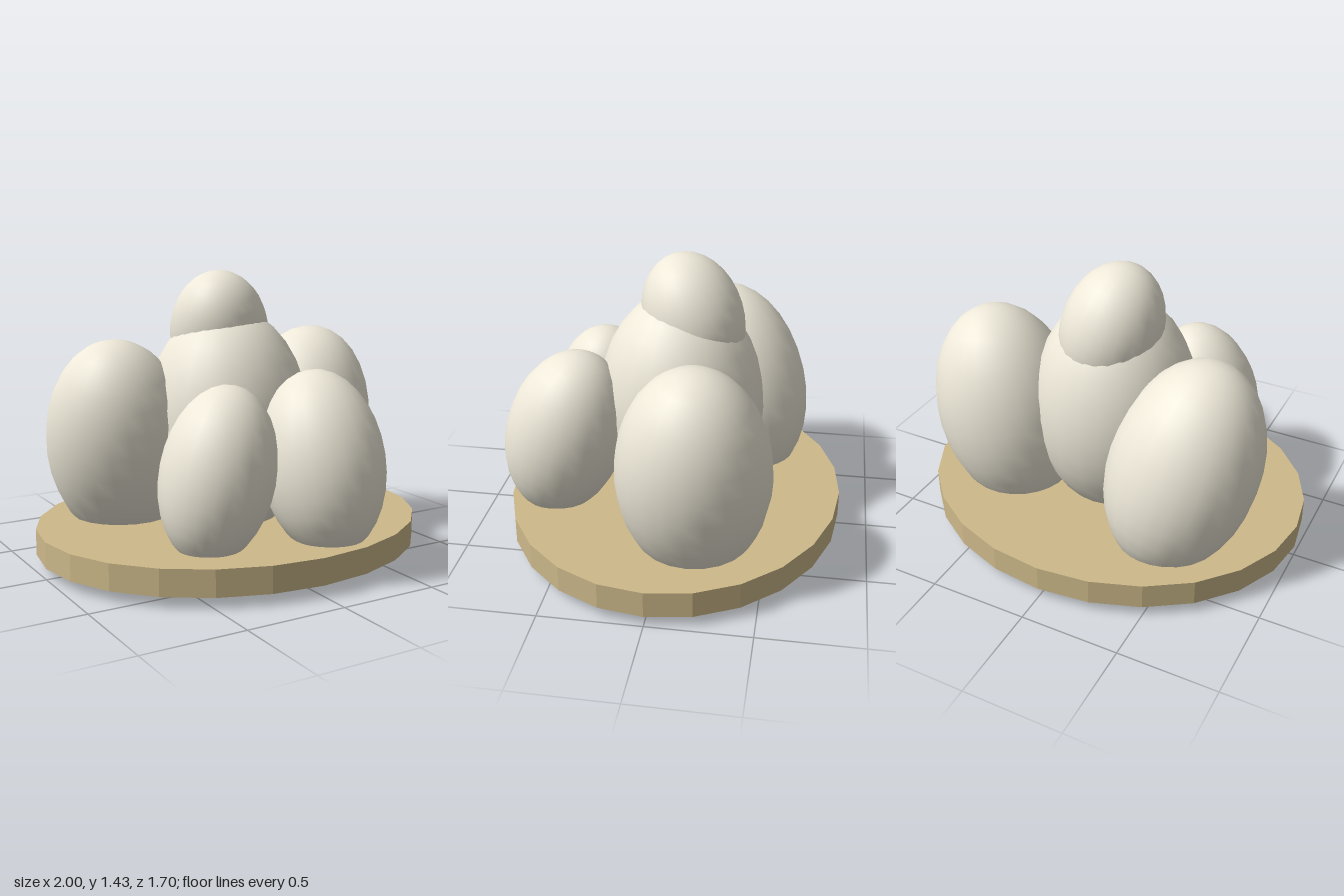
import * as THREE from 'three';

const shell = new THREE.MeshStandardMaterial({ color: 0xede8d8 });
const wood = new THREE.MeshStandardMaterial({ color: 0xcdb98a, flatShading: true });
const UP = new THREE.Vector3(0, 1, 0);

// Ellipsoid whose long axis leans along the given direction
function egg(name, center, radius, halfLength, axis = [0, 1, 0]) {
  const mesh = new THREE.Mesh(new THREE.SphereGeometry(1, 24, 16), shell);
  mesh.name = name;
  mesh.position.set(...center);
  mesh.scale.set(radius, halfLength, radius);
  mesh.quaternion.setFromUnitVectors(UP, new THREE.Vector3(...axis).normalize());
  return mesh;
}

export function createModel() {
  const group = new THREE.Group();
  group.name = 'eggCluster';

  // Oval plate
  const base = new THREE.Mesh(new THREE.CylinderGeometry(1, 1, 0.13, 24), wood);
  base.name = 'base';
  base.scale.z = 0.85;
  base.position.y = 0.12;
  group.add(base);

  // Central body with its cap
  group.add(egg('centerEgg', [0, 0.65, -0.02], 0.42, 0.597));
  group.add(egg('topEgg', [-0.01, 1.11, -0.08], 0.25, 0.33, [-0.2, 0.92, 0.33]));

  // Surrounding eggs
  group.add(egg('backLeftEgg', [0.55, 0.555, -0.163], 0.372, 0.561, [0.2, 0.98, 0]));
  group.add(egg('backRightEgg', [-0.488, 0.558, -0.262], 0.37, 0.556, [-0.19, 0.946, 0.26]));
  group.add(egg('frontLeftEgg', [0.203, 0.537, 0.535], 0.302, 0.448, [0, 0.964, -0.267]));
  group.add(egg('frontRightEgg', [-0.316, 0.52, 0.437], 0.272, 0.42, [0.25, 0.96, -0.06]));

  return group;
}
